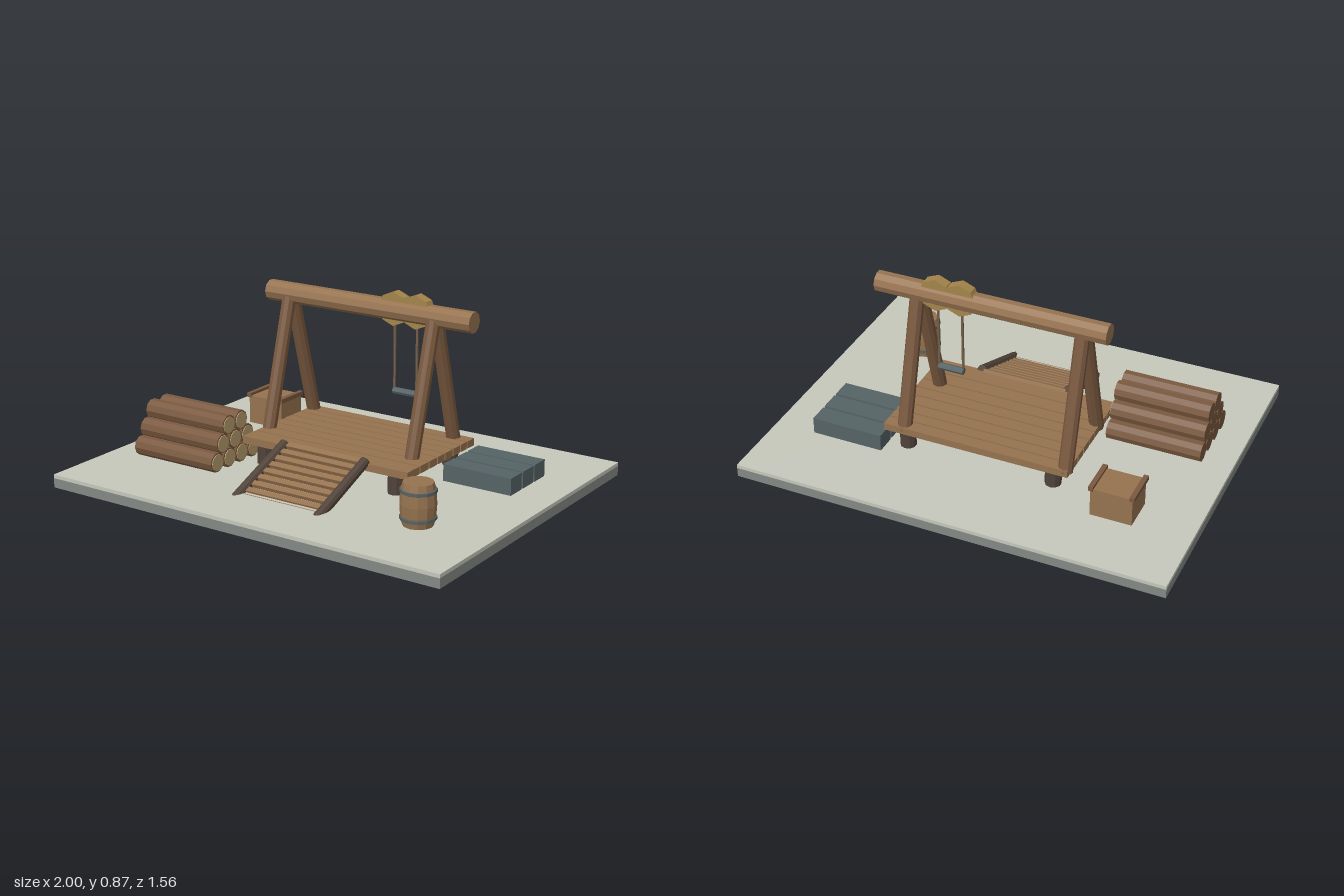
import * as THREE from 'three';

export function createModel() {
  const root = new THREE.Group();
  root.name = 'woodenHoistYard';

  const paint = (name, color) => {
    const m = new THREE.MeshStandardMaterial({ color, flatShading: true });
    m.name = name;
    return m;
  };
  const ground = paint('pale ground', 0xc6c8bc);
  const base = paint('grey base', 0x848984);
  const wood = paint('light wood', 0x96734f);
  const bark = paint('brown timber', 0x7a593f);
  const dark = paint('dark timber', 0x51433a);
  const cut = paint('cut wood', 0xb79c6d);
  const ochre = paint('ochre wood', 0xa4854a);
  const slate = paint('slate', 0x566366);
  const rope = paint('rope', 0x75604a);

  const add = (name, geo, mat, x = 0, y = 0, z = 0, parent = root) => {
    const m = new THREE.Mesh(geo, mat);
    m.name = name;
    m.position.set(x, y, z);
    parent.add(m);
    return m;
  };
  // Box given by its lower and upper limits on each axis
  const box = (name, mat, x0, x1, y0, y1, z0, z1, parent) =>
    add(name, new THREE.BoxGeometry(x1 - x0, y1 - y0, z1 - z0), mat,
      (x0 + x1) / 2, (y0 + y1) / 2, (z0 + z1) / 2, parent);
  // Round bar between two points
  const up = new THREE.Vector3(0, 1, 0);
  const bar = (name, mat, a, b, r, sides = 8, parent = root) => {
    const p = new THREE.Vector3(...a), q = new THREE.Vector3(...b);
    const d = q.clone().sub(p);
    const m = add(name, new THREE.CylinderGeometry(r, r, d.length(), sides), mat, 0, 0, 0, parent);
    m.position.copy(p).add(q).multiplyScalar(0.5);
    m.quaternion.setFromUnitVectors(up, d.normalize());
    return m;
  };
  const group = (name) => {
    const g = new THREE.Group();
    g.name = name;
    root.add(g);
    return g;
  };
  const floor = 0.067;

  // Ground slab in two layers
  box('groundBase', base, -1, 1, 0.006, 0.05, -0.78, 0.78);
  box('groundTop', ground, -1, 1, 0.05, floor, -0.78, 0.78);

  // Platform planks on four short posts
  const platform = group('platform');
  const seams = [0.175, 0.072, -0.004, -0.074, -0.138, -0.206, -0.27, -0.33, -0.395];
  for (let i = 0; i < 8; i++) {
    box('plank', wood, -0.407, 0.47, 0.157, 0.191, seams[i + 1] + 0.004, seams[i] - 0.004, platform);
  }
  for (const x of [-0.32, 0.38]) for (const z of [0.12, -0.335]) {
    bar('platformPost', dark, [x, 0.06, z], [x, 0.16, z], 0.037, 10, platform);
  }

  // A-frames and the beam across them
  const frame = group('hoistFrame');
  for (const x of [-0.386, 0.382]) for (const s of [-1, 1]) {
    bar('frameLeg', bark, [x, 0.165, -0.18 + s * 0.182], [x, 0.775, -0.18 + s * 0.012], 0.033, 10, frame);
  }
  bar('topBeam', wood, [-0.502, 0.787, -0.184], [0.575, 0.787, -0.184], 0.048, 10, frame);

  // Pulleys, ropes and the hanging bar
  const hoist = group('hoist');
  for (const x of [0.176, 0.291]) {
    const wheel = add('pulleyWheel', new THREE.CylinderGeometry(0.077, 0.077, 0.048, 8), ochre, x, 0.795, -0.187, hoist);
    wheel.rotation.x = Math.PI / 2;
    bar('rope', rope, [x, 0.42, -0.182], [x, 0.76, -0.182], 0.006, 6, hoist);
  }
  bar('hangingBar', slate, [0.173, 0.418, -0.182], [0.294, 0.418, -0.182], 0.016, 8, hoist);

  // Sloping ramp with rails and rungs
  const ramp = group('ramp');
  const high = [0.195, 0.16], low = [0.022, 0.59];
  for (const x of [-0.181, 0.246]) {
    bar('rampRail', dark, [x, low[0], low[1]], [x, high[0], high[1]], 0.024, 10, ramp);
  }
  const slope = Math.atan2(high[0] - low[0], low[1] - high[1]);
  for (let i = 0; i < 9; i++) {
    const z = 0.168 + i * 0.0425;
    const y = high[0] - (z - high[1]) * Math.tan(slope);
    const rung = add('rampRung', new THREE.BoxGeometry(0.41, 0.018, 0.028), wood, 0.0325, y, z, ramp);
    rung.rotation.x = slope;
  }

  // Stacked logs, four rows wide at the bottom
  const pile = group('logPile');
  const rows = [[4, 0.112, 0.08], [3, 0.189, 0.125], [2, 0.265, 0.17]];
  for (const [count, y, z0] of rows) for (let i = 0; i < count; i++) {
    const z = z0 + i * 0.0885;
    bar('log', bark, [-0.86, y, z], [-0.418, y, z], 0.046, 10, pile);
    bar('logCutFace', cut, [-0.419, y, z], [-0.414, y, z], 0.039, 10, pile);
  }

  // Barrel with two hoops
  const barrel = group('barrel');
  barrel.position.set(0.655, floor, 0.383);
  const stave = [[0, 0], [0.066, 0], [0.075, 0.045], [0.078, 0.094], [0.075, 0.143], [0.066, 0.188], [0, 0.188]];
  add('barrelBody', new THREE.LatheGeometry(stave.map(([x, y]) => new THREE.Vector2(x, y)), 12), wood, 0, 0, 0, barrel);
  for (const y of [0.034, 0.152]) {
    add('barrelHoop', new THREE.CylinderGeometry(0.079, 0.079, 0.014, 12), slate, 0, y, 0, barrel);
  }

  // Crate with raised battens on the lid
  const crate = group('crate');
  box('crateBody', wood, -0.735, -0.545, floor, 0.203, -0.475, -0.313, crate);
  for (const x of [-0.734, -0.548]) {
    box('crateBatten', bark, x - 0.011, x + 0.011, 0.195, 0.216, -0.481, -0.307, crate);
  }

  // Row of stone blocks
  const blocks = group('stoneBlocks');
  for (const [z0, z1] of [[-0.43, -0.337], [-0.325, -0.232], [-0.219, -0.124]]) {
    box('stoneBlock', slate, 0.47, 0.808, floor, 0.145, z0, z1, blocks);
  }

  return root;
}
